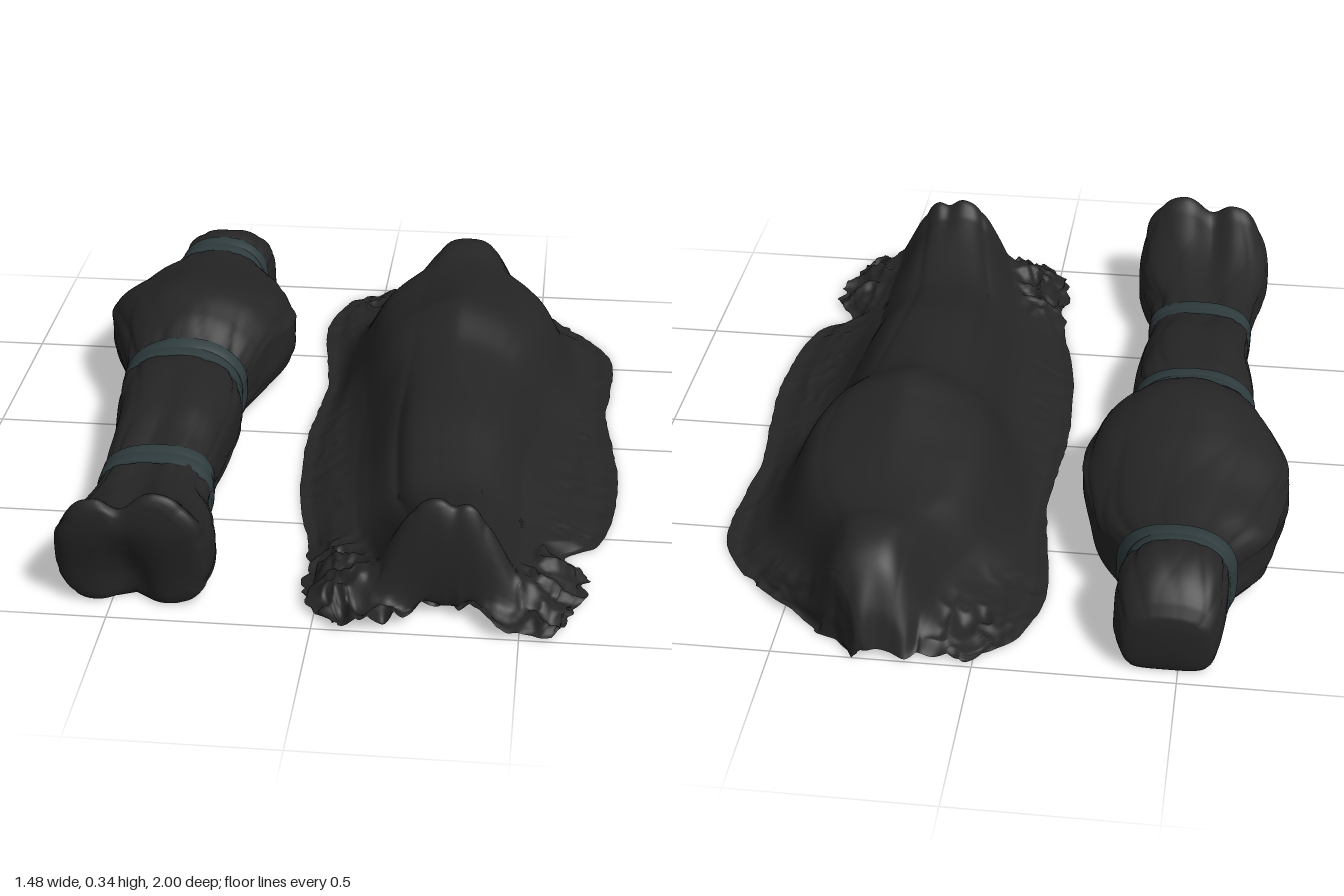
import * as THREE from 'three';

const cloth = new THREE.MeshStandardMaterial({ color: 0x252525, side: THREE.DoubleSide });
const strapMat = new THREE.MeshStandardMaterial({ color: 0x2f3b3e, side: THREE.DoubleSide });
const { lerp, smoothstep, clamp } = THREE.MathUtils;

// Smooth interpolation through rows of [z, value, value, ...]
function track(rows) {
  const slope = (i, k) => {
    const a = rows[Math.max(i - 1, 0)], b = rows[Math.min(i + 1, rows.length - 1)];
    return (b[k] - a[k]) / (b[0] - a[0]);
  };
  return z => {
    z = clamp(z, rows[0][0], rows[rows.length - 1][0]);
    let i = 0;
    while (i < rows.length - 2 && z > rows[i + 1][0]) i++;
    const A = rows[i], B = rows[i + 1], d = B[0] - A[0], t = (z - A[0]) / d;
    const t2 = t * t, t3 = t2 * t;
    return A.slice(1).map((_, j) => {
      const k = j + 1;
      return (2 * t3 - 3 * t2 + 1) * A[k] + (t3 - 2 * t2 + t) * d * slope(i, k)
        + (3 * t2 - 2 * t3) * B[k] + (t3 - t2) * d * slope(i + 1, k);
    });
  };
}

const bump = (x, c, w) => Math.exp(-(((x - c) / w) ** 2));
const ridge = a => (1 - Math.abs(Math.sin(a))) ** 2;

// Seeded value noise, 0 to 1
const hash = (i, j) => {
  const s = Math.sin(i * 127.1 + j * 311.7) * 43758.5453;
  return s - Math.floor(s);
};
function noise(x, y) {
  const i = Math.floor(x), j = Math.floor(y), u = smoothstep(x - i, 0, 1), v = smoothstep(y - j, 0, 1);
  return lerp(lerp(hash(i, j), hash(i + 1, j), u), lerp(hash(i, j + 1), hash(i + 1, j + 1), u), v);
}
// Crumples: sharp creases from warped noise, -1 to 1
function rumple(x, z) {
  const w = noise(x * 9, z * 9) * 1.5;
  return 1 - 2 * Math.abs(2 * noise(x * 19 + w, z * 19 - w) - 1) + 0.5 * (noise(x * 45, z * 45) - 0.5);
}

// Surface from a grid of points; wrap joins the last column to the first
function gridMesh(name, rows, wrap, material) {
  const n = rows[0].length, index = [];
  for (let r = 0; r < rows.length - 1; r++) {
    for (let c = 0; c < (wrap ? n : n - 1); c++) {
      const d = (c + 1) % n, a = r * n + c, b = r * n + d;
      index.push(a, a + n, b, b, a + n, b + n);
    }
  }
  const geo = new THREE.BufferGeometry();
  geo.setAttribute('position', new THREE.Float32BufferAttribute(rows.flat(2), 3));
  geo.setIndex(index);
  geo.computeVertexNormals();
  const mesh = new THREE.Mesh(geo, material);
  mesh.name = name;
  return mesh;
}

// Wrapped body: z, left edge, right edge, top height
const wrapped = track([
  [-0.96, -0.57, -0.37, 0.15], [-0.94, -0.59, -0.355, 0.19], [-0.88, -0.605, -0.335, 0.24],
  [-0.8, -0.612, -0.335, 0.265], [-0.73, -0.615, -0.35, 0.25], [-0.68, -0.64, -0.325, 0.25],
  [-0.6, -0.70, -0.27, 0.26], [-0.5, -0.722, -0.24, 0.28], [-0.35, -0.745, -0.205, 0.32],
  [-0.2, -0.695, -0.235, 0.347], [-0.1, -0.66, -0.275, 0.315], [0, -0.64, -0.312, 0.255],
  [0.1, -0.635, -0.298, 0.255], [0.3, -0.61, -0.31, 0.24], [0.42, -0.61, -0.32, 0.205],
  [0.5, -0.608, -0.315, 0.185], [0.6, -0.612, -0.312, 0.185], [0.7, -0.625, -0.28, 0.2],
  [0.8, -0.645, -0.262, 0.23], [0.9, -0.64, -0.262, 0.285], [0.94, -0.625, -0.268, 0.318],
  [0.96, -0.61, -0.28, 0.31],
]);
const strapZ = [-0.73, 0.01, 0.5];

function sectionPoint(z, a, scale = 1, creases = true) {
  const [l, r, top] = wrapped(z);
  const torso = smoothstep(z, -0.75, -0.5) * (1 - smoothstep(z, -0.15, 0.1));
  const cx = (l + r) / 2, hw = (r - l) / 2, mid = top * lerp(0.5, 0.58, torso);
  const c = Math.cos(a), s = Math.sin(a), up = s > 0;
  // Peaked over the chest, boxy against the ground
  let dx = Math.sign(c) * Math.abs(c) ** (up ? lerp(0.85, 1, torso) : 0.42) * hw;
  let dy = Math.sign(s) * Math.abs(s) ** (up ? lerp(0.85, 1.35, torso) : 0.48) * (up ? top - mid : mid);
  if (!up && c > 0) dx *= 1 - 0.15 * torso * s * s;
  if (creases) {
    // Folds gather at the straps and run lengthwise between them
    const cinch = strapZ.reduce((m, q) => Math.max(m, bump(z, q, 0.12)), 0);
    const k = 1.03 - (0.02 + 0.04 * cinch) * ridge(a * 5 + 1.2 * Math.sin(z * 7) + z * 2)
      - 0.03 * cinch * noise(c * 12 + 30, z * 5 + s * 9)
      - 0.02 * ridge(a * 3 - z * 9) - 0.045 * noise(c * 3 + z * 2 + 20, s * 3 + z * 6);
    dx *= k;
    dy *= up ? 1 - (1 - k) * 0.6 : 1;
    if (up) {
      // Shallow valley between the legs
      const legs = smoothstep(z, 0.05, 0.9);
      dy *= 1 - 0.3 * legs * bump(dx, -0.02, 0.045);
      dy *= 1 + 0.05 * legs * Math.sign(dx) * Math.min(1, Math.abs(dx) / 0.1);
    }
  }
  const x = cx + dx * scale, y = Math.max(0, mid + dy * scale);
  // Cloth tucks in under the toes, deepest between the feet
  const toes = smoothstep(z, 0.84, 0.955) * (1 - smoothstep(y, 0.05, 0.24));
  return [x, y, z - toes * (0.025 + 0.05 * bump(x, -0.455, 0.05))];
}

function ring(z, scale, creases, tilt = 0) {
  const N = 120;
  return Array.from({ length: N }, (_, i) => {
    const a = -i / N * Math.PI * 2;
    return sectionPoint(z + tilt * Math.cos(a), a, scale, creases);
  });
}

function wrappedBody() {
  const g = new THREE.Group();
  g.name = 'wrappedBody';
  const ends = [0.001, 0.2, 0.4, 0.55, 0.7, 0.85, 0.95];
  const bulge = s => 0.016 * Math.sqrt(1 - s * s);
  const rows = ends.map(s => ring(-0.95, s, true).map(p => [p[0], p[1], p[2] - bulge(s)]));
  for (let i = 0; i <= 240; i++) rows.push(ring(-0.95 + 1.9 * i / 240, 1, true));
  ends.reverse().forEach(s => rows.push(ring(0.953, s, true).map(p => [p[0], p[1], p[2] + bulge(s)])));
  g.add(gridMesh('wrappedCloth', rows, true, cloth));
  // Each strap is two flat bands wound at slightly different slants
  strapZ.forEach((z, i) => [-1, 1].forEach(side => {
    const c = z + side * 0.014, w = 0.022, t = side * 0.005 + (i ? -0.003 : 0.005);
    const k = 1.015 + 0.008 * (side > 0);
    const band = [[-w, 0.93], [-w, k], [w, k], [w, 0.93]];
    g.add(gridMesh('strap', band.map(([d, s]) => ring(c + d, s, false, t)), true, strapMat));
  }));
  return g;
}

// Draped sheet: z, left hem, right hem
const hem = track([
  [-0.99, 0.02, 0.3], [-0.96, -0.02, 0.33], [-0.9, -0.085, 0.41], [-0.8, -0.135, 0.53],
  [-0.7, -0.15, 0.635], [-0.6, -0.145, 0.7], [-0.5, -0.13, 0.72], [-0.3, -0.105, 0.71],
  [-0.2, -0.11, 0.7], [0, -0.125, 0.72], [0.2, -0.12, 0.735], [0.4, -0.1, 0.72],
  [0.55, -0.065, 0.68], [0.61, -0.055, 0.6], [0.68, -0.045, 0.645], [0.8, -0.04, 0.65],
  [0.9, -0.035, 0.61], [0.96, 0.015, 0.6], [0.99, 0.04, 0.57],
]);
// Body below the sheet: z, centre, half width, top height, steepness of the sides
const under = track([
  [-0.99, 0.27, 0.1, 0.03, 3], [-0.96, 0.27, 0.12, 0.13, 3.5], [-0.9, 0.27, 0.14, 0.225, 4],
  [-0.8, 0.27, 0.16, 0.265, 4], [-0.7, 0.27, 0.205, 0.25, 5], [-0.6, 0.275, 0.26, 0.255, 7],
  [-0.45, 0.28, 0.29, 0.285, 10], [-0.3, 0.28, 0.29, 0.32, 10], [-0.2, 0.28, 0.275, 0.333, 8],
  [-0.05, 0.28, 0.245, 0.275, 6], [0.1, 0.285, 0.23, 0.255, 5], [0.3, 0.29, 0.215, 0.24, 4.5],
  [0.45, 0.295, 0.205, 0.205, 4], [0.57, 0.3, 0.2, 0.185, 4], [0.7, 0.305, 0.185, 0.215, 4],
  [0.82, 0.31, 0.165, 0.265, 3.5], [0.87, 0.315, 0.16, 0.3, 3.5], [0.895, 0.315, 0.16, 0.24, 3.5],
  [0.92, 0.31, 0.19, 0.07, 4], [0.95, 0.305, 0.2, 0.015, 4], [0.99, 0.305, 0.2, 0.005, 4],
]);

function drapePoint(u, z) {
  const [l, r] = hem(z), [cx, hw, top, steep] = under(z);
  const head = smoothstep(-z, 0.65, 0.85), feet = smoothstep(z, 0.55, 0.75);
  const rim = Math.abs(u) ** 8;
  let x = l + (r - l) * (u + 1) / 2;
  const ruffle = Math.max(feet, head * smoothstep(x, 0.2, 0.4), 0.3 * head);
  const t = Math.abs(x - cx) / hw, q = Math.min(t, 1);
  // Ridged over the chest, tent slopes along the legs, sides running out flat to the hem
  const crown = 1 - lerp(0.15 * q * q, 0.35 * q * q / (q + 0.15), bump(z, -0.2, 0.3));
  const fade = 1 - smoothstep(Math.abs(u), 0.8, 1);
  let y = Math.max(0, top * crown / (1 + t ** steep) * fade * 1.02 - 0.005);

  // Long folds down the legs, slanting folds and soft dents over the torso
  const slopes = bump(t, 0.85, 0.4), legs = smoothstep(z, -0.1, 0.5);
  y -= y * slopes * (0.1 * legs + 0.02) * ridge((x - cx) / hw * 6 + 0.8 * Math.sin(z * 4)) * (1 - 0.4 * feet);
  y -= y * 0.05 * slopes * (1 - legs) * noise(x * 8 + z * 4, z * 9);
  // Dip between the toes
  y -= y * 0.07 * bump(z, 0.88, 0.1) * bump(x, 0.335, 0.025);
  // Crumpled hem, deepest at the head corner and around the feet
  const loose = smoothstep(t, 1, 1.5) + bump(z, 0.97, 0.06);
  y += Math.min(1, loose) * (0.004 + 0.02 * ruffle) * (1 + rumple(x, z)) * (1 - 0.6 * rim);
  x += rim * (0.002 + 0.014 * ruffle) * rumple(z, u);
  // Hem retreats between the feet and waves at both ends
  const end = smoothstep(Math.abs(z), 0.9, 0.99);
  let zz = z + 0.012 * end * rumple(x, 0.3);
  if (z > 0) zz -= 0.085 * end * Math.exp(-(((x - 0.31) / 0.1) ** 4));
  else zz -= 0.015 * end * bump(x, 0.27, 0.03);
  return [x, Math.max(0, y), clamp(zz, -1, 1)];
}

function drapedBody() {
  const rows = [], R = 250, C = 140;
  for (let i = 0; i <= R; i++) {
    const s = i / R * 2 - 1;
    const z = 0.99 * (0.7 * s + 0.3 * Math.sin(s * Math.PI / 2)); // denser rows toward the ends
    rows.push(Array.from({ length: C + 1 }, (_, j) => drapePoint(j / C * 2 - 1, z)));
  }
  return gridMesh('drapedSheet', rows, false, cloth);
}

export function createModel() {
  const model = new THREE.Group();
  model.name = 'shroudedBodies';
  model.add(wrappedBody(), drapedBody());
  return model;
}
